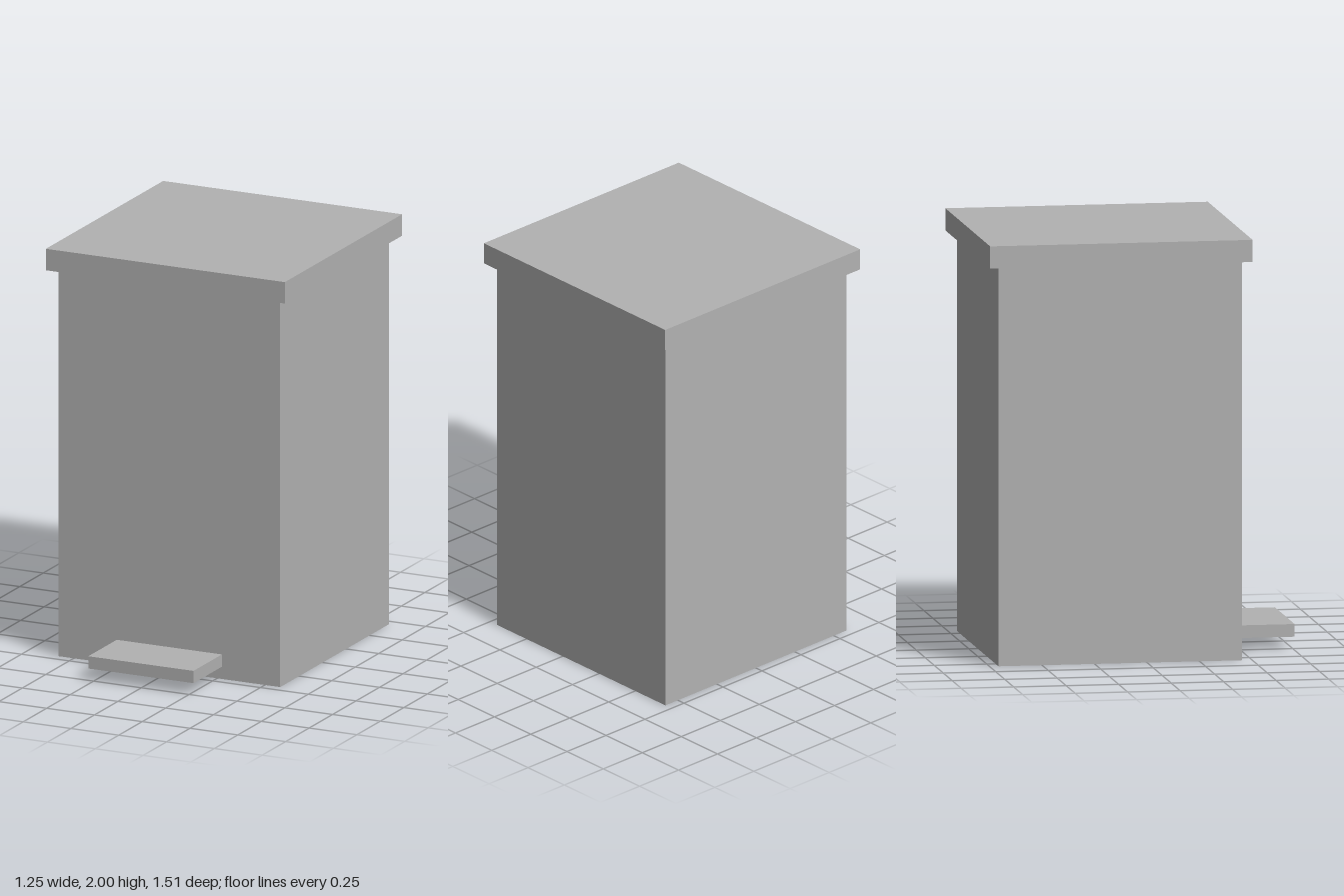
import * as THREE from 'three';

export function createModel() {
  const bin = new THREE.Group();
  bin.name = 'pedalBin';

  const grey = new THREE.MeshStandardMaterial({ color: 0xb2b2b2 });
  grey.name = 'grey';

  // Adds a box centred on x = 0, spanning the given y and z ranges
  function addBox(name, width, [y0, y1], [z0, z1]) {
    const mesh = new THREE.Mesh(new THREE.BoxGeometry(width, y1 - y0, z1 - z0), grey);
    mesh.name = name;
    mesh.position.set(0, (y0 + y1) / 2, (z0 + z1) / 2);
    bin.add(mesh);
  }

  // Tall container
  addBox('body', 1.16, [0, 1.895], [-0.708, 0.452]);
  // Overhanging lid
  addBox('lid', 1.25, [1.895, 2], [-0.755, 0.495]);
  // Foot pedal at the front
  addBox('pedal', 0.55, [0.06, 0.12], [0.452, 0.755]);

  return bin;
}
